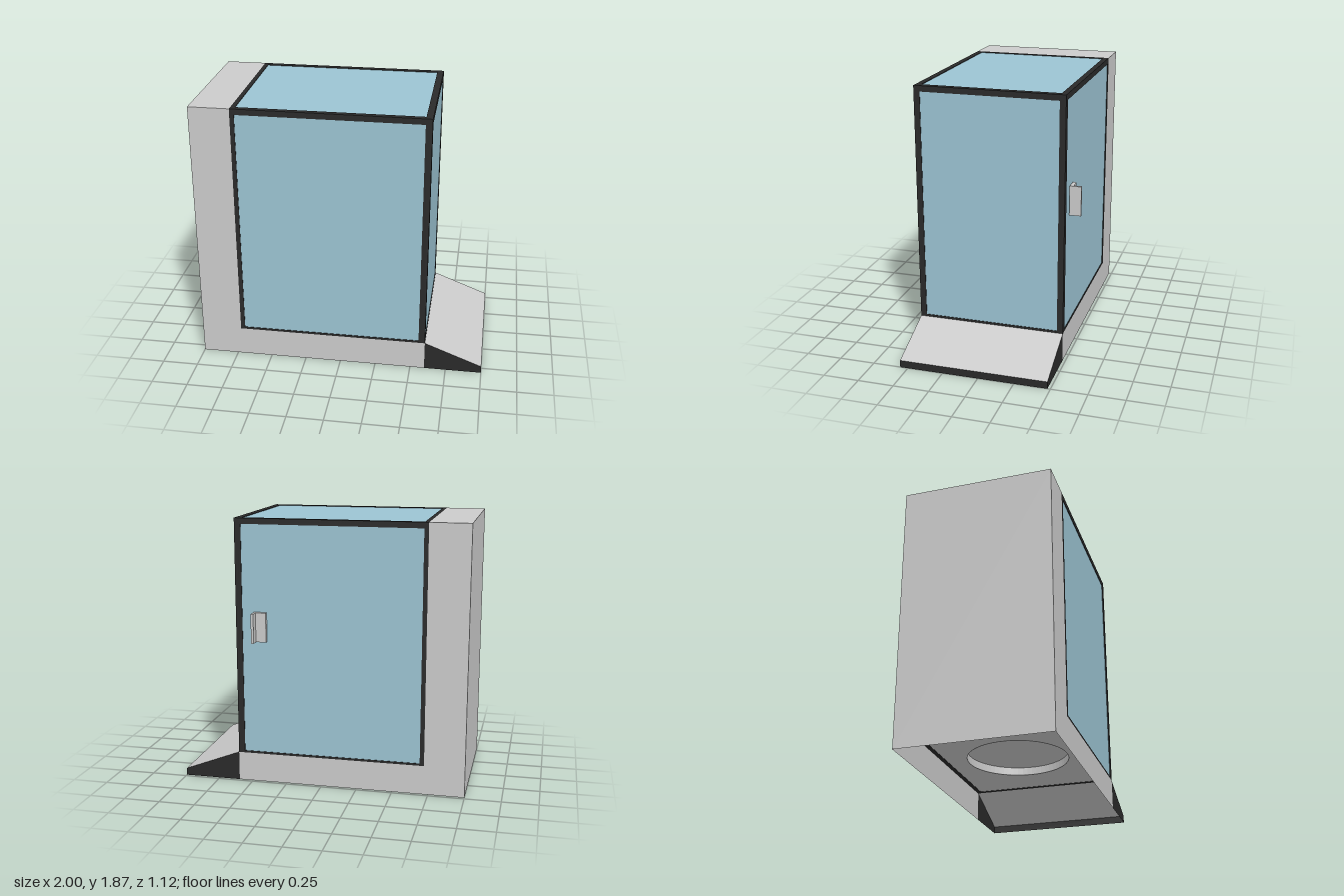
import * as THREE from 'three';

const mat = (color) => new THREE.MeshStandardMaterial({ color, side: THREE.DoubleSide, flatShading: true });

export function createModel() {
  const model = new THREE.Group();
  const grey = mat(0xcccccc), black = mat(0x2a2a2a), glass = mat(0x9cc4d3);

  // main extents: column from L to M, chamber from M to R, ramp out to E
  const L = -1, M = -0.72, R = 0.6, E = 1, F = 0.555, B = -0.48, H = 1.865, S = 0.205;
  const midZ = (F + B) / 2, depth = F - B;

  const add = (name, geo, material, x = 0, y = 0, z = 0, parent = model) => {
    const m = new THREE.Mesh(geo, material);
    m.name = name;
    m.position.set(x, y, z);
    parent.add(m);
    return m;
  };
  const polygon = (pts) => new THREE.Shape(pts.map(([x, y]) => new THREE.Vector2(x, y)));
  const rect = (x0, y0, x1, y1) => polygon([[x0, y0], [x1, y0], [x1, y1], [x0, y1]]);

  // sheet spanning the depth between two points of the front outline
  const sheet = (name, [x0, y0], [x1, y1], material) => {
    const m = add(name, new THREE.PlaneGeometry(Math.hypot(x1 - x0, y1 - y0), depth).rotateX(-Math.PI / 2),
      material, (x0 + x1) / 2, (y0 + y1) / 2, midZ);
    m.rotation.z = Math.atan2(y1 - y0, x1 - x0);
  };

  // housing: L-shaped front and back, closed column, open underneath
  const side = polygon([[L, 0], [R, 0], [R, S], [M, S], [M, H], [L, H]]);
  add('housingFront', new THREE.ShapeGeometry(side), grey, 0, 0, F);
  add('housingBack', new THREE.ShapeGeometry(side).rotateY(Math.PI).scale(-1, 1, 1), grey, 0, 0, B);
  sheet('columnOuterWall', [L, H], [L, 0], grey);
  sheet('columnTop', [L, H], [M, H], grey);
  sheet('columnInnerWall', [M, S], [M, H], grey);

  // framed glass panels: outer rectangle, rail widths, placement
  const panel = (name, [x0, y0, x1, y1], [l, b, r, t], place) => {
    const g = new THREE.Group();
    g.name = name;
    const frame = rect(x0, y0, x1, y1);
    const inner = [x0 + l, y0 + b, x1 - r, y1 - t];
    frame.holes.push(rect(...inner));
    add(name + 'Frame', new THREE.ExtrudeGeometry(frame, { depth: 0.03, bevelEnabled: false }), black, 0, 0, -0.03, g);
    add(name + 'Glass', new THREE.ShapeGeometry(rect(...inner)), glass, 0, 0, -0.004, g);
    place(g);
    model.add(g);
  };
  panel('frontPanel', [M, S, R, H], [0.03, 0.015, 0.045, 0.04], (g) => { g.position.z = F; });
  panel('backPanel', [-R, S, -M, H], [0.045, 0.015, 0.03, 0.04], (g) => {
    g.position.z = B;
    g.rotation.y = Math.PI;
  });
  panel('sidePanel', [-F, S, -B, H], [0.042, 0.015, 0.042, 0.04], (g) => {
    g.position.x = R;
    g.rotation.y = Math.PI / 2;
  });
  panel('topPanel', [M, -F, R, -B], [0.03, 0.04, 0.045, 0.04], (g) => {
    g.position.y = H;
    g.rotation.x = -Math.PI / 2;
  });

  // chamber floor with a round opening below the turntable
  const cx = (M + R) / 2, radius = 0.35;
  const floor = rect(M, -F + 0.03, R - 0.03, -B);
  floor.holes.push(new THREE.Path().absarc(cx, -midZ, radius, 0, Math.PI * 2, true));
  add('chamberFloor', new THREE.ShapeGeometry(floor, 32).rotateX(-Math.PI / 2), grey, 0, S + 0.002, 0);
  const profile = [[0, 0.055], [radius, 0.055], [radius, 0]].map(([x, y]) => new THREE.Vector2(x, y));
  add('turntable', new THREE.LatheGeometry(profile, 64), grey, cx, S, midZ);

  // ramp, open underneath
  const cheek = polygon([[R, 0], [E, 0], [E, 0.05], [R, S]]);
  for (const z of [F, B]) add('rampCheek', new THREE.ShapeGeometry(cheek), black, 0, 0, z);
  sheet('rampTop', [R, S], [E, 0.05], grey);
  sheet('rampLip', [E, 0.05], [E, 0], black);

  // door handle: plate and upright fin
  const handle = new THREE.Group();
  handle.name = 'handle';
  add('handlePlate', new THREE.BoxGeometry(0.09, 0.205, 0.025), grey, 0.425, 1.122, B - 0.0125, handle);
  add('handleFin', new THREE.BoxGeometry(0.018, 0.205, 0.06), grey, 0.461, 1.122, B - 0.05, handle);
  model.add(handle);

  return model;
}
